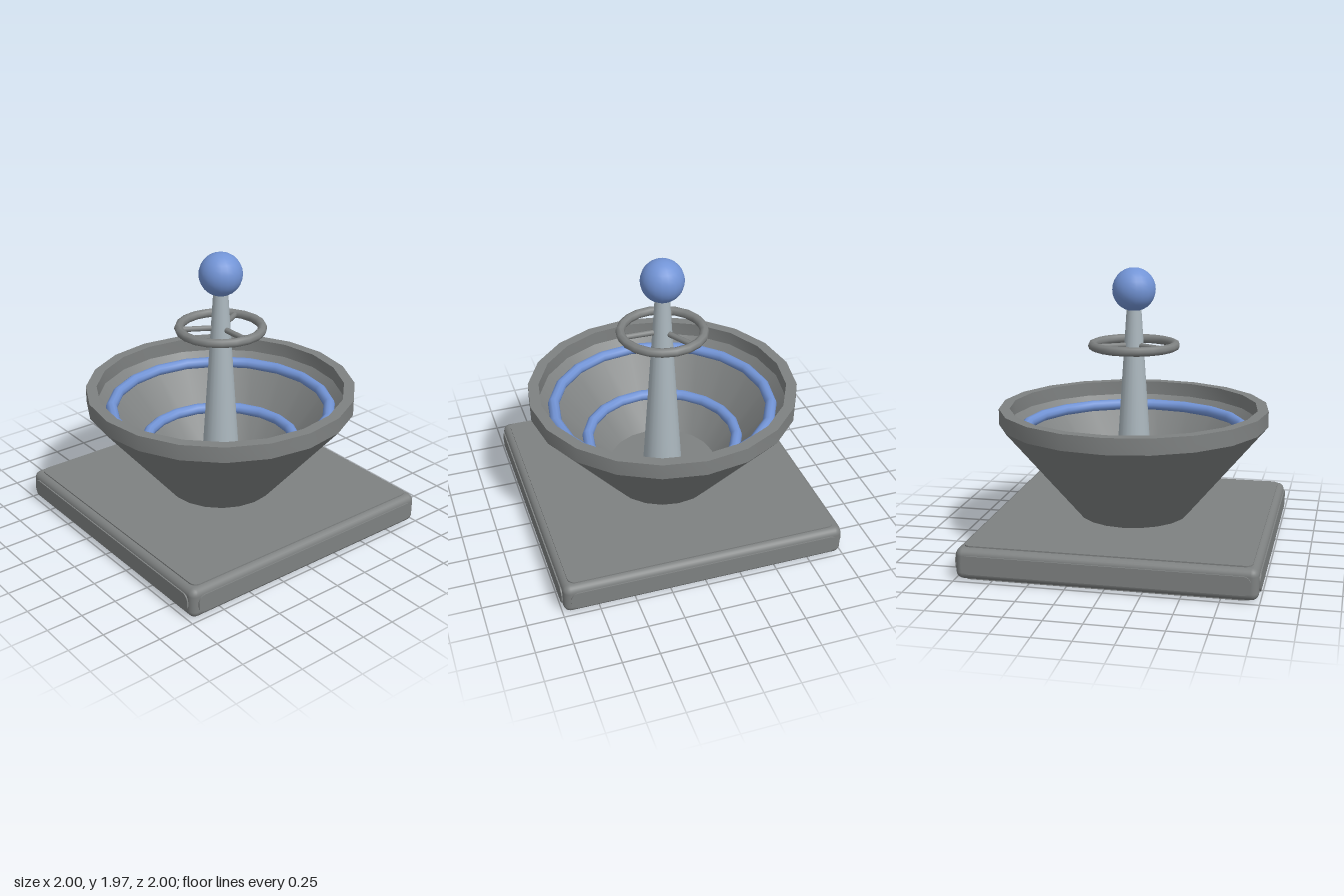
import * as THREE from 'three';
import { RoundedBoxGeometry } from 'three/addons/geometries/RoundedBoxGeometry.js';
import { toCreasedNormals } from 'three/addons/utils/BufferGeometryUtils.js';

const SIDES = 20;

function material(name, color) {
  const m = new THREE.MeshStandardMaterial({ color });
  m.name = name;
  return m;
}

// Thin plate with rounded corners, lying in the xy plane and facing +z
function plateGeometry(w, h, r, depth) {
  const s = new THREE.Shape();
  const x = w / 2, y = h / 2;
  s.absarc(x - r, y - r, r, 0, Math.PI / 2);
  s.absarc(-x + r, y - r, r, Math.PI / 2, Math.PI);
  s.absarc(-x + r, -y + r, r, Math.PI, Math.PI * 1.5);
  s.absarc(x - r, -y + r, r, Math.PI * 1.5, Math.PI * 2);
  return new THREE.ExtrudeGeometry(s, { depth, bevelEnabled: false, curveSegments: 4 });
}

export function createModel() {
  const model = new THREE.Group();
  model.name = 'fountain';
  const grey = material('stone grey', 0x7e8181);
  const blue = material('blue', 0x7294d6);
  const steel = material('pale steel', 0xabb7be);

  const add = (name, geometry, mat, y = 0, parent = model) => {
    const mesh = new THREE.Mesh(geometry, mat);
    mesh.name = name;
    mesh.position.y = y;
    parent.add(mesh);
    return mesh;
  };
  const ring = (name, r, tube, tubeSides, mat, y, parent) => {
    const g = new THREE.TorusGeometry(r, tube, tubeSides, SIDES);
    return add(name, g.rotateX(Math.PI / 2), mat, y, parent);
  };

  // Square plinth: rounded slab with a slightly raised panel on every face
  const plinth = new THREE.Group();
  plinth.name = 'plinth';
  model.add(plinth);
  add('plinthSlab', new RoundedBoxGeometry(1.982, 0.212, 1.982, 3, 0.05), grey, 0.115, plinth);
  const sidePanel = plateGeometry(1.89, 0.125, 0.05, 0.009).translate(0, 0, 0.991);
  for (let i = 0; i < 4; i++) {
    add('sidePanel', sidePanel, grey, 0.115, plinth).rotation.y = (i * Math.PI) / 2;
  }
  const flatPanel = plateGeometry(1.89, 1.89, 0.05, 0.009);
  add('topPanel', flatPanel, grey, 0.221, plinth).rotation.x = -Math.PI / 2;
  add('bottomPanel', flatPanel, grey, 0.009, plinth).rotation.x = Math.PI / 2;

  // Conical bowl with an upright rim, hollow down to a flat floor
  const profile = [
    [0, 0.22], [0.375, 0.22], [0.94, 0.89], [0.94, 1.0],
    [0.865, 1.0], [0.865, 0.9], [0.385, 0.335], [0, 0.335],
  ].map(([x, y]) => new THREE.Vector2(x, y));
  add('bowl', toCreasedNormals(new THREE.LatheGeometry(profile, SIDES), 0.5), grey);

  // Rings resting on the inside of the bowl
  ring('upperBowlRing', 0.768, 0.04, 10, blue, 0.84);
  ring('lowerBowlRing', 0.535, 0.04, 10, blue, 0.565);

  // Central tapered post and ball
  add('post', new THREE.CylinderGeometry(0.05, 0.14, 1.37, SIDES), steel, 1.015);
  add('ball', new THREE.SphereGeometry(0.15, SIDES, 14), blue, 1.815);

  // Handwheel with three spokes
  const wheel = new THREE.Group();
  wheel.name = 'handwheel';
  wheel.position.y = 1.43;
  model.add(wheel);
  ring('wheelRim', 0.287, 0.032, 8, grey, 0, wheel);
  const spoke = new THREE.CylinderGeometry(0.02, 0.02, 0.26, 8)
    .rotateZ(Math.PI / 2).translate(0.14, 0, 0);
  for (let i = 0; i < 3; i++) {
    add('spoke', spoke, grey, 0, wheel).rotation.y = (i * Math.PI * 2) / 3;
  }

  return model;
}
